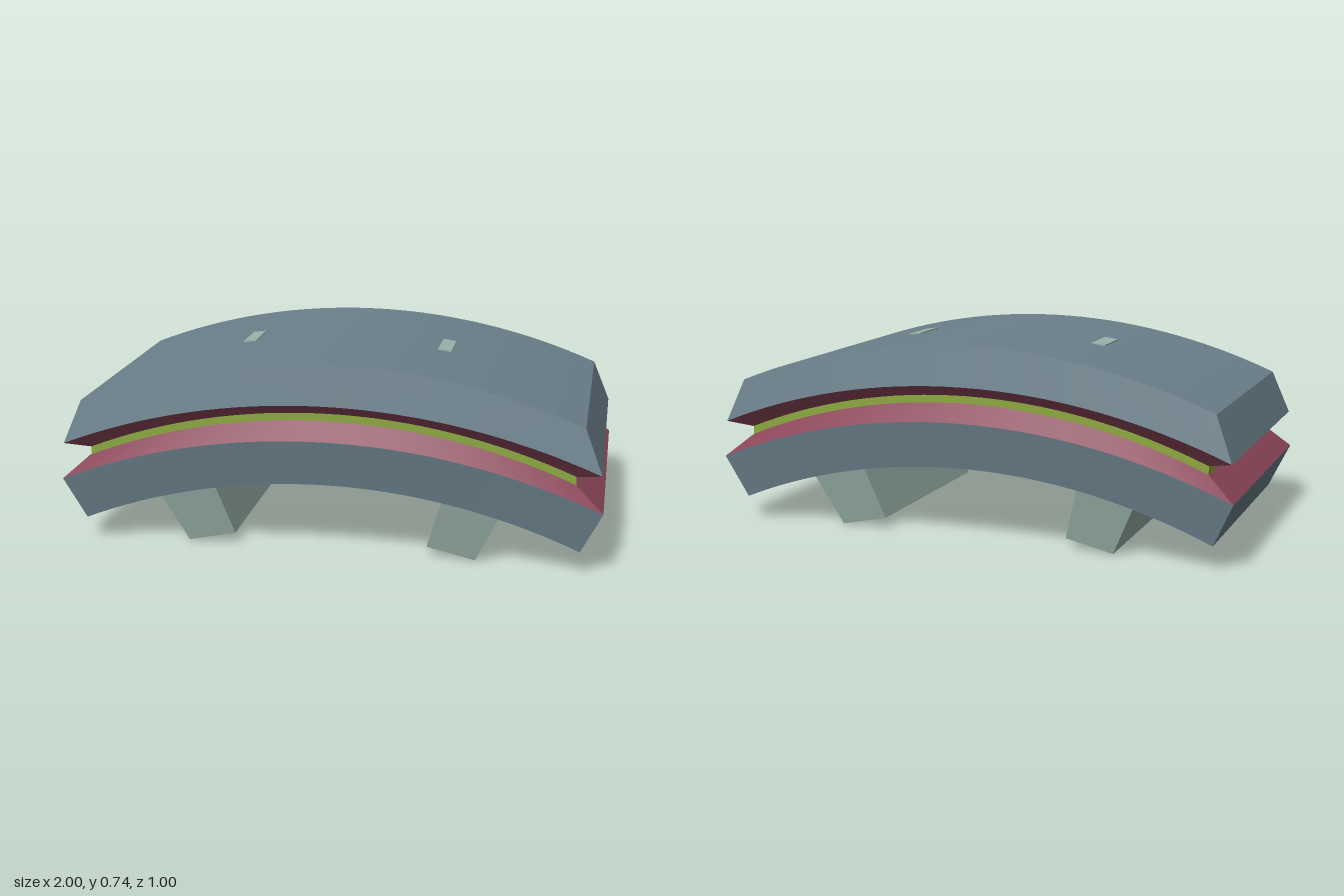
import * as THREE from 'three';
import { mergeGeometries } from 'three/addons/utils/BufferGeometryUtils.js';
import { ConvexGeometry } from 'three/addons/geometries/ConvexGeometry.js';

const SEGMENTS = 32;

// Arched line through (±halfWidth, endY) with its crown at midY, at depth z
function arc([halfWidth, endY, midY], z) {
  const rise = midY - endY;
  const radius = (halfWidth ** 2 + rise ** 2) / (2 * rise);
  const sweep = Math.asin(halfWidth / radius);
  return Array.from({ length: SEGMENTS + 1 }, (_, i) => {
    const a = sweep * (2 * i / SEGMENTS - 1);
    return [radius * Math.sin(a), midY - radius * (1 - Math.cos(a)), z];
  });
}

// Strip of quads between two rows of points; smooth along the strip
function strip(rowA, rowB) {
  const n = rowA.length, index = [];
  for (let i = 0; i < n - 1; i++) index.push(i, i + 1, n + i + 1, i, n + i + 1, n + i);
  const geometry = new THREE.BufferGeometry();
  geometry.setAttribute('position', new THREE.Float32BufferAttribute([...rowA, ...rowB].flat(), 3));
  geometry.setIndex(index);
  geometry.computeVertexNormals();
  return geometry;
}

// Arched band between two levels [halfWidth, endY, midY, halfDepth]
function band(low, high, capBottom, capTop) {
  const lowFront = arc(low, low[3]), lowBack = arc(low, -low[3]);
  const highFront = arc(high, high[3]), highBack = arc(high, -high[3]);
  const end = SEGMENTS;
  const parts = [
    strip(lowFront, highFront),
    strip([...lowBack].reverse(), [...highBack].reverse()),
    strip([lowFront[end], lowBack[end]], [highFront[end], highBack[end]]),
    strip([lowBack[0], lowFront[0]], [highBack[0], highFront[0]]),
  ];
  if (capTop) parts.push(strip(highFront, highBack));
  if (capBottom) parts.push(strip(lowBack, lowFront));
  return mergeGeometries(parts);
}

// Convex solid from [x, y, halfDepth] corners, mirrored in z
function wedge(corners, side, zOffset = 0) {
  return new ConvexGeometry(corners.flatMap(([x, y, d]) => [
    new THREE.Vector3(side * x, y, zOffset + d),
    new THREE.Vector3(side * x, y, zOffset - d),
  ]));
}

export function createModel() {
  const group = new THREE.Group();
  const material = (name, color) => {
    const m = new THREE.MeshStandardMaterial({ color });
    m.name = name;
    return m;
  };
  const slate = material('slate', 0x6b808b);
  const maroon = material('maroon', 0x8a4558);
  const lime = material('lime', 0x8ca840);
  const sage = material('sage', 0x9ab3aa);

  const add = (name, geometry, mat) => {
    const mesh = new THREE.Mesh(geometry, mat);
    mesh.name = name;
    group.add(mesh);
  };

  // Levels from the underside up to the top
  const base = [0.925, 0.09, 0.28, 0.465];
  const lowerRim = [1.0, 0.252, 0.455, 0.5];
  const coreBottom = [0.9, 0.337, 0.52, 0.45];
  const coreTop = [0.9, 0.368, 0.548, 0.45];
  const upperRim = [0.99, 0.39, 0.587, 0.495];
  const crown = [0.925, 0.552, 0.735, 0.465];

  // Two shells with a recessed glowing core between them
  add('lowerShell', band(base, lowerRim, true, false), slate);
  add('lowerBevel', band(lowerRim, coreBottom, false, false), maroon);
  add('core', band(coreBottom, coreTop, false, false), lime);
  add('upperBevel', band(coreTop, upperRim, false, false), maroon);
  add('upperShell', band(upperRim, crown, false, true), slate);

  for (const side of [1, -1]) {
    const label = side > 0 ? 'left' : 'right';
    // Splayed foot rails, tapering towards the ground
    add(label + 'Foot', wedge([
      [0.365, 0.04, 0.395], [0.545, 0, 0.395], [0.66, 0.25, 0.465], [0.44, 0.3, 0.465],
    ], side), sage);
    // Small tabs just proud of the top surface
    add(label + 'Tab', wedge([
      [0.353, 0.7, 0.08], [0.353, 0.713, 0.08], [0.403, 0.706, 0.08], [0.403, 0.69, 0.08],
    ], side, -0.004), sage);
  }
  return group;
}
